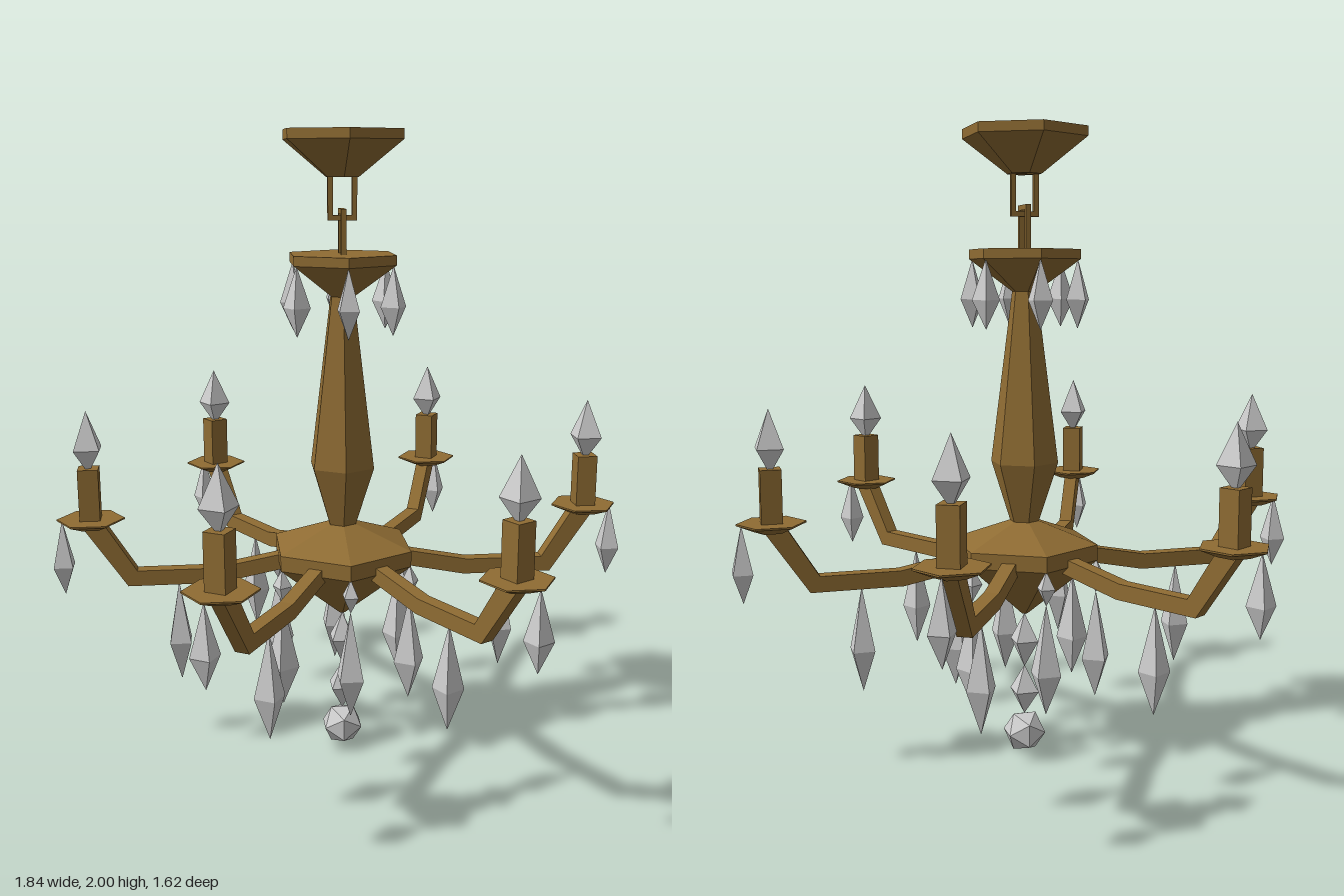
import * as THREE from 'three';

const brass = new THREE.MeshStandardMaterial({ name: 'agedBrass', color: 0x8f6c33, flatShading: true });
const glass = new THREE.MeshStandardMaterial({ name: 'crystal', color: 0xcccccc, flatShading: true });

function add(parent, name, geometry, material, x = 0, y = 0, z = 0) {
  const mesh = new THREE.Mesh(geometry, material);
  mesh.name = name;
  mesh.position.set(x, y, z);
  parent.add(mesh);
  return mesh;
}

// Faceted turned part; profile is [radius, y] from bottom to top
function turned(profile, sides, start = 0) {
  return new THREE.LatheGeometry(profile.map(([r, y]) => new THREE.Vector2(r, y)), sides, start);
}

// Square-section drop: pointed at both ends, widest at mid
function crystal(parent, name, x, bottom, mid, top, half) {
  const profile = [[0, bottom], [half * Math.SQRT2, mid], [0, top]];
  add(parent, name, turned(profile, 4, Math.PI / 4), glass, x);
}

// Rectangular chain link lying in the xy plane
function chainLink(parent, name, bottom, top, angle) {
  const link = new THREE.Group();
  link.name = name;
  link.rotation.y = angle;
  const t = 0.016, half = 0.037, h = top - bottom;
  for (const s of [-1, 1]) {
    add(link, 'linkSide', new THREE.BoxGeometry(t, h, t), brass, s * half, (top + bottom) / 2);
    add(link, 'linkEnd', new THREE.BoxGeometry(2 * half - t, t, t), brass, 0, (top + bottom) / 2 + s * (h - t) / 2);
  }
  parent.add(link);
}

// Six copies around the y axis, each built along its local +x
function ring(parent, name, offset, build) {
  for (let i = 0; i < 6; i++) {
    const g = new THREE.Group();
    g.name = name;
    g.rotation.y = offset + i * Math.PI / 3;
    build(g);
    parent.add(g);
  }
}

export function createModel() {
  const model = new THREE.Group();
  model.name = 'chandelier';

  // Central column
  add(model, 'ceilingCanopy', turned([[0, 1.86], [0.055, 1.86], [0.2, 1.97], [0.2, 2], [0, 2]], 6), brass);
  chainLink(model, 'upperChainLink', 1.73, 1.875, 0);
  chainLink(model, 'lowerChainLink', 1.6, 1.766, Math.PI / 2);
  add(model, 'crown', turned([[0, 1.5], [0.04, 1.5], [0.18, 1.6], [0.18, 1.63], [0, 1.63]], 6), brass);
  add(model, 'stem', turned([[0, 0.75], [0.045, 0.76], [0.11, 0.96], [0.04, 1.5], [0, 1.51]], 6), brass);
  add(model, 'hub', turned([[0, 0.46], [0.01, 0.46], [0.24, 0.65], [0.24, 0.7], [0.045, 0.77], [0, 0.77]], 6), brass);

  // Pendant under the hub
  crystal(model, 'upperPendantCrystal', 0, 0.28, 0.37, 0.46, 0.036);
  crystal(model, 'lowerPendantCrystal', 0, 0.12, 0.2, 0.285, 0.037);
  add(model, 'pendantBall', new THREE.IcosahedronGeometry(0.071, 0), glass, 0, 0.0604, 0);

  // Crystals hanging from the corners of the crown and hub
  ring(model, 'cornerCrystals', Math.PI / 6, (g) => {
    crystal(g, 'crownCrystal', 0.17, 1.385, 1.475, 1.6, 0.03);
    crystal(g, 'hubBead', 0.235, 0.545, 0.6, 0.655, 0.022);
    crystal(g, 'hubCrystal', 0.235, 0.2, 0.33, 0.55, 0.037);
  });

  // Bent arm outline, extruded to a square bar
  const outline = [[0.15, 0.684], [0.41, 0.635], [0.66, 0.635], [0.76, 0.795],
    [0.833, 0.795], [0.69, 0.585], [0.4, 0.585], [0.15, 0.634]];
  const armShape = new THREE.Shape(outline.map(([x, y]) => new THREE.Vector2(x, y)));
  const armGeometry = new THREE.ExtrudeGeometry(armShape, { depth: 0.045, bevelEnabled: false });
  armGeometry.translate(0, 0, -0.0225);
  const panGeometry = turned([[0, 0.78], [0.05, 0.78], [0.106, 0.803], [0.106, 0.808], [0, 0.808]], 6, Math.PI / 2);

  ring(model, 'candleArm', 0, (g) => {
    add(g, 'arm', armGeometry, brass);
    add(g, 'dripPan', panGeometry, brass, 0.8);
    add(g, 'candle', new THREE.BoxGeometry(0.064, 0.17, 0.064), brass, 0.8, 0.888, 0);
    crystal(g, 'flameCrystal', 0.8, 0.955, 1.035, 1.155, 0.04);
    crystal(g, 'panCrystal', 0.89, 0.56, 0.655, 0.805, 0.03);
    crystal(g, 'armCrystal', 0.53, 0.25, 0.385, 0.587, 0.034);
  });

  return model;
}
